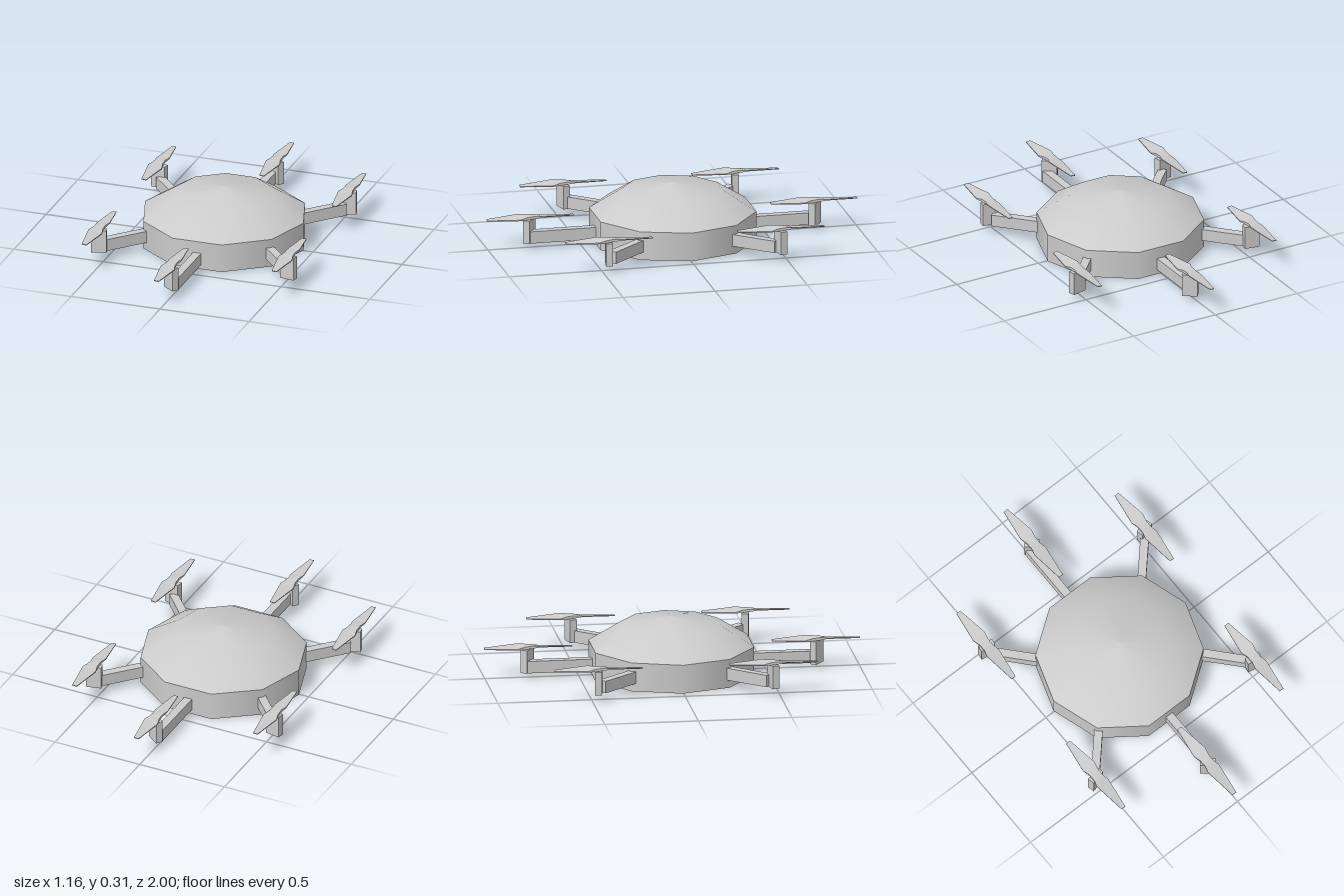
import * as THREE from 'three';

const material = new THREE.MeshStandardMaterial({ color: 0xcccccc });

function addMesh(parent, name, geometry) {
  const mesh = new THREE.Mesh(geometry, material);
  mesh.name = name;
  parent.add(mesh);
  return mesh;
}

// Ten-sided surface of revolution with a corner on the x axis
function lathe(points) {
  return new THREE.LatheGeometry(points.map(([r, y]) => new THREE.Vector2(r, y)), 10, Math.PI / 2);
}

// Two-bladed propeller lofted along z; the blades pitch in opposite directions
function propellerGeometry() {
  // z, half width, middle height, half thickness, pitch rise
  const sections = [
    [-0.235, 0.013, 0.007, 0.002, 0.001],
    [-0.06, 0.038, 0.011, 0.003, 0.006],
    [-0.02, 0.028, 0.011, 0.007, 0.002],
    [0.02, 0.028, 0.011, 0.007, -0.002],
    [0.06, 0.038, 0.011, 0.003, -0.006],
    [0.235, 0.013, 0.007, 0.002, -0.001],
  ];
  const positions = [];
  const index = [];
  sections.forEach(([z, w, y, t, rise], i) => {
    positions.push(-w, y - rise - t, z, w, y + rise - t, z, w, y + rise + t, z, -w, y - rise + t, z);
    if (i === 0) return;
    for (let j = 0; j < 4; j++) {
      const a = (i - 1) * 4 + j, b = (i - 1) * 4 + ((j + 1) % 4);
      index.push(a, b, b + 4, a, b + 4, a + 4);
    }
  });
  const n = (sections.length - 1) * 4;
  index.push(0, 2, 1, 0, 3, 2, n, n + 1, n + 2, n, n + 2, n + 3);
  const indexed = new THREE.BufferGeometry();
  indexed.setAttribute('position', new THREE.Float32BufferAttribute(positions, 3));
  indexed.setIndex(index);
  const geometry = indexed.toNonIndexed();
  geometry.computeVertexNormals();
  return geometry;
}

export function createModel() {
  const model = new THREE.Group();
  model.name = 'drone';

  // Hull: flat base, straight wall and a smooth shallow dome
  const body = new THREE.Group();
  body.name = 'body';
  body.position.z = -0.004;
  model.add(body);
  addMesh(body, 'base', lathe([[0, 0], [0.445, 0]]));
  addMesh(body, 'wall', lathe([[0.445, 0], [0.445, 0.155]]));
  addMesh(body, 'dome', lathe([[0.445, 0.155], [0.27, 0.265], [0, 0.306]]));

  // Rotor arms: three at the front, turned half round for the back
  const rotors = [
    { inner: [0, 0.38], outer: [0, 0.775], y: 0.025, post: [-0.019, 0.77], turn: 36, prop: [-0.021, 0.765] },
    { inner: [0.338, 0.245], outer: [0.52, 0.445], y: 0.042, post: [0.53, 0.466], turn: 10, prop: [0.534, 0.467] },
    { inner: [-0.338, 0.245], outer: [-0.52, 0.445], y: 0.042, post: [-0.534, 0.466], turn: -14, prop: [-0.534, 0.467] },
  ];
  const propeller = propellerGeometry();
  for (const side of ['front', 'back']) {
    const half = new THREE.Group();
    half.name = side + 'Rotors';
    half.rotation.y = side === 'front' ? 0 : Math.PI;
    model.add(half);
    for (const { inner, outer, y, post, turn, prop } of rotors) {
      const dx = outer[0] - inner[0], dz = outer[1] - inner[1];
      const arm = addMesh(half, 'arm', new THREE.BoxGeometry(0.045, 0.065, Math.hypot(dx, dz)));
      arm.position.set((inner[0] + outer[0]) / 2, y + 0.0335, (inner[1] + outer[1]) / 2);
      arm.rotation.y = Math.atan2(dx, dz);

      const mast = addMesh(half, 'motorPost', new THREE.BoxGeometry(0.082, 0.125, 0.038));
      mast.position.set(post[0], y + 0.0625, post[1]);
      mast.rotation.y = -THREE.MathUtils.degToRad(turn);

      addMesh(half, 'propeller', propeller).position.set(prop[0], y + 0.125, prop[1]);
    }
  }
  return model;
}
